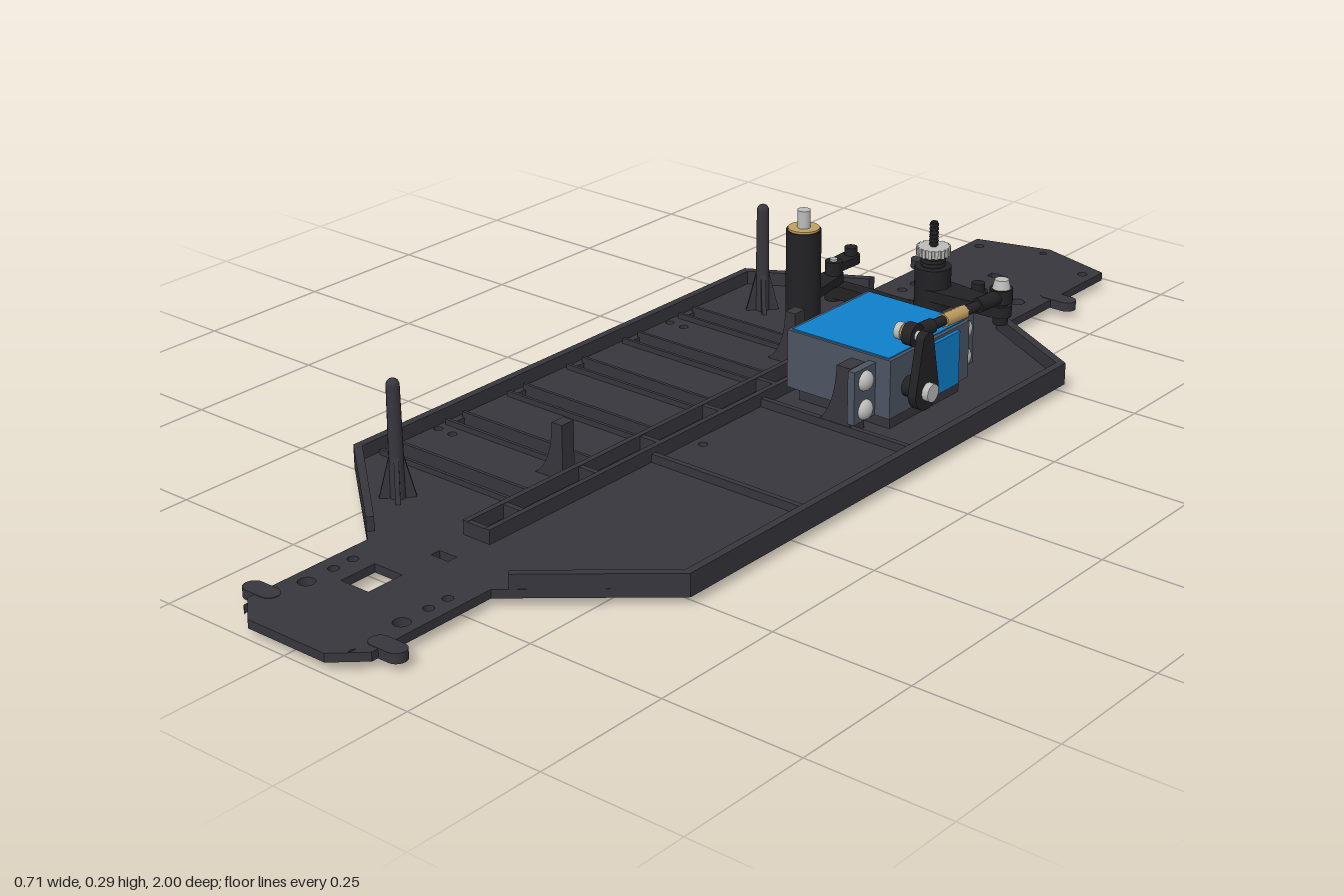
import * as THREE from 'three';

const paint = (name, color) => Object.assign(new THREE.MeshStandardMaterial({ color }), { name });

export function createModel() {
  const model = new THREE.Group();
  model.name = 'chassis';
  const dark = paint('charcoal plastic', 0x37363d);
  const black = paint('black plastic', 0x222225);
  const grey = paint('servo grey', 0x4d5562);
  const blue = paint('blue label', 0x0f80cc);
  const silver = paint('silver steel', 0xbcbcba);
  const gold = paint('brass', 0xc2a062);

  const add = (name, geo, mat, x = 0, y = 0, z = 0) => {
    const m = new THREE.Mesh(geo, mat);
    m.name = name;
    m.position.set(x, y, z);
    model.add(m);
    return m;
  };
  // box given by its limits
  const box = (name, mat, x0, x1, y0, y1, z0, z1) =>
    add(name, new THREE.BoxGeometry(x1 - x0, y1 - y0, z1 - z0), mat, (x0 + x1) / 2, (y0 + y1) / 2, (z0 + z1) / 2);
  // upright cylinder from y0 to y1
  const post = (name, mat, x, z, y0, y1, r, rTop = r, n = 24) =>
    add(name, new THREE.CylinderGeometry(rTop, r, y1 - y0, n), mat, x, (y0 + y1) / 2, z);
  // rod between two points
  const rod = (name, mat, a, b, r, n = 16) => {
    const p = new THREE.Vector3(...a), q = new THREE.Vector3(...b), d = q.clone().sub(p);
    const m = add(name, new THREE.CylinderGeometry(r, r, d.length(), n), mat);
    m.position.copy(p).add(q).multiplyScalar(0.5);
    m.quaternion.setFromUnitVectors(new THREE.Vector3(0, 1, 0), d.normalize());
    return m;
  };
  const poly = (pts) => new THREE.Shape(pts.map(([x, y]) => new THREE.Vector2(x, y)));
  // flat slab whose plan is drawn in x and z
  const slab = (name, mat, shape, y0, y1) => {
    const g = new THREE.ExtrudeGeometry(shape, { depth: y1 - y0, bevelEnabled: false, curveSegments: 10 });
    g.rotateX(Math.PI / 2);
    return add(name, g, mat, 0, y1, 0);
  };
  // flat arm with rounded ends, in plan
  const arm = (name, mat, x0, z0, x1, z1, r0, r1, y0, y1) => {
    const a = Math.atan2(z1 - z0, x1 - x0), s = new THREE.Shape();
    s.absarc(x0, z0, r0, a + Math.PI / 2, a + Math.PI * 1.5, false);
    s.absarc(x1, z1, r1, a - Math.PI / 2, a + Math.PI / 2, false);
    s.closePath();
    return slab(name, mat, s, y0, y1);
  };

  // floor plate
  const half = [[0.143, -0.96], [0.143, -0.62], [0.357, -0.5], [0.357, 0.515], [0.13, 0.705], [0.13, 0.95], [0.08, 0.995]];
  const plate = poly([[0, -1], ...half, ...half.map(([x, z]) => [-x, z]).reverse()]);
  const rectHole = (x0, x1, z0, z1) => plate.holes.push(poly([[x0, z0], [x0, z1], [x1, z1], [x1, z0]]));
  const roundHole = (x, z, r) => plate.holes.push(new THREE.Path().absarc(x, z, r, 0, Math.PI * 2, true));
  const slots = [-0.301, -0.148, 0.001, 0.152, 0.302, 0.455];
  slots.forEach((z) => rectHole(-0.33, -0.05, z - 0.017, z + 0.017));
  rectHole(0, 0.06, -0.71, -0.64);
  rectHole(-0.063, -0.005, 0.755, 0.825);
  rectHole(-0.018, 0.018, -0.827, -0.81);
  rectHole(-0.018, 0.018, 0.662, 0.68);
  for (const s of [-1, 1]) {
    [[-0.735, 0.014], [-0.69, 0.009], [-0.65, 0.009], [0.765, 0.009], [0.805, 0.009], [0.86, 0.014]]
      .forEach(([z, r]) => roundHole(s * 0.1, z, r));
    roundHole(s * 0.118, -0.93, 0.009);
    roundHole(s * 0.11, 0.965, 0.008);
  }
  roundHole(0, -0.975, 0.007);
  [[0.048, 0.113], [0.227, 0.605], [-0.333, -0.253], [-0.3, -0.253], [-0.333, 0.345], [-0.3, 0.345]]
    .forEach(([x, z]) => roundHole(x, z, 0.008));
  slab('floorPlate', dark, plate, 0.015, 0.03);

  // side rims and bumper ears
  for (const s of [-1, 1]) {
    const rim = [[0.143, -0.62], [0.357, -0.5], [0.357, 0.515], [0.15, 0.688], [0.142, 0.678], [0.343, 0.508], [0.343, -0.491], [0.143, -0.603]];
    slab('sideRim', dark, poly(rim.map(([x, z]) => [s * x, z])), 0.03, 0.055);
    arm('rearEar', dark, s * 0.13, -0.8, s * 0.167, -0.8, 0.017, 0.017, 0.014, 0.031);
    arm('frontEar', dark, s * 0.115, 0.92, s * 0.15, 0.92, 0.017, 0.017, 0.014, 0.031);
  }

  // centre channel, floor ribs and slot lips
  for (const x of [-0.023, 0.023]) box('channelWall', dark, x - 0.005, x + 0.005, 0.03, 0.055, -0.57, 0.6);
  for (const z of [-0.565, -0.34, -0.25, -0.115, 0.03, 0.19, 0.34, 0.515, 0.595])
    box('channelBridge', dark, -0.027, 0.027, 0.03, 0.054, z - 0.005, z + 0.005);
  for (const z of [-0.07, 0.215]) box('floorRib', dark, 0.027, 0.345, 0.03, 0.045, z - 0.005, z + 0.005);
  for (const z of slots) for (const d of [-0.02, 0.02])
    box('slotLip', dark, -0.335, -0.045, 0.03, 0.04, z + d - 0.003, z + d + 0.003);

  // upright brackets with a curved foot; the straight side is at x
  const fin = (name, x, z, w, y0, y1, t) => {
    const s = new THREE.Shape();
    s.moveTo(x, y0);
    s.lineTo(x, y1);
    s.lineTo(x - w * 0.36, y1);
    s.quadraticCurveTo(x - w * 0.4, y0 + (y1 - y0) * 0.25, x - w, y0);
    s.closePath();
    add(name, new THREE.ExtrudeGeometry(s, { depth: t, bevelEnabled: false }), dark, 0, 0, z - t / 2);
  };
  fin('batteryBracket', -0.035, -0.253, 0.06, 0.03, 0.128, 0.028);
  fin('batteryBracket', -0.035, 0.35, 0.06, 0.03, 0.128, 0.028);

  // body posts on cross-shaped feet
  for (const [x, z] of [[-0.243, -0.41], [-0.2, 0.57]]) {
    post('bodyPost', dark, x, z, 0.03, 0.224, 0.013, 0.011, 16);
    add('bodyPostTip', new THREE.SphereGeometry(0.011, 16, 10), dark, x, 0.224, z);
    for (const a of [Math.PI / 4, -Math.PI / 4]) {
      const web = poly([[-0.03, 0], [0.03, 0], [0.011, 0.075], [-0.011, 0.075]]);
      const g = new THREE.ExtrudeGeometry(web, { depth: 0.008, bevelEnabled: false }).translate(0, 0, -0.004);
      add('bodyPostWeb', g, dark, x, 0.03, z).rotation.y = a;
    }
  }

  // steering servo, labels, flanges and screws
  box('servoCase', grey, 0.045, 0.26, 0.055, 0.16, -0.342, -0.115);
  box('servoFoot', dark, 0.06, 0.25, 0.03, 0.055, -0.33, -0.13);
  box('topLabel', blue, 0.052, 0.253, 0.16, 0.162, -0.337, -0.12);
  box('sideLabel', blue, 0.26, 0.267, 0.058, 0.155, -0.305, -0.225);
  for (const z of [-0.086, -0.371]) {
    box('servoFlange', grey, 0.216, 0.23, 0.055, 0.15, z - 0.029, z + 0.029);
    fin('servoMount', 0.215, z, 0.08, 0.03, 0.15, 0.04);
    for (const y of [0.075, 0.127]) {
      const g = new THREE.SphereGeometry(0.018, 16, 8, 0, Math.PI * 2, 0, Math.PI / 2).scale(1, 0.7, 1).rotateZ(-Math.PI / 2);
      add('flangeScrew', g, silver, 0.23, y, z);
    }
  }

  // servo horn
  const horn = new THREE.Shape();
  horn.absarc(0, 0.1, 0.033, Math.PI, Math.PI * 2, false);
  horn.absarc(0, 0.19, 0.015, 0, Math.PI, false);
  horn.closePath();
  const hornGeo = new THREE.ExtrudeGeometry(horn, { depth: 0.016, bevelEnabled: false }).rotateY(Math.PI / 2);
  add('servoHorn', hornGeo, black, 0.284, 0, -0.165);
  rod('servoShaft', black, [0.26, 0.1, -0.165], [0.286, 0.1, -0.165], 0.018);
  rod('hornScrew', silver, [0.299, 0.1, -0.165], [0.312, 0.1, -0.165], 0.016);

  // drag link with ball ends and brass adjuster
  const a = [0.266, 0.194, -0.165], b = [0.284, 0.194, -0.4];
  rod('dragLink', black, a, b, 0.009);
  rod('adjuster', gold, [0.272, 0.194, -0.245], [0.276, 0.194, -0.3], 0.013, 6);
  rod('linkEnd', black, [0.266, 0.194, -0.17], [0.27, 0.194, -0.215], 0.013);
  rod('linkEnd', black, [0.279, 0.194, -0.335], [0.284, 0.194, -0.395], 0.013);
  rod('ballCup', black, [0.257, 0.194, -0.165], [0.277, 0.194, -0.165], 0.02);
  rod('ballCollar', gold, [0.25, 0.194, -0.165], [0.257, 0.194, -0.165], 0.013);
  rod('ballScrew', silver, [0.238, 0.194, -0.165], [0.25, 0.194, -0.165], 0.015);
  rod('ballStud', silver, [0.277, 0.194, -0.165], [0.286, 0.194, -0.165], 0.009);
  post('ballCup', black, 0.284, -0.4, 0.183, 0.208, 0.02);
  post('ballScrew', silver, 0.284, -0.4, 0.208, 0.224, 0.016, 0.012);

  // steering posts
  const pz = -0.402;
  for (const x of [-0.143, 0.14]) {
    post('steeringPost', black, x, pz, 0.03, 0.213, 0.032);
    post('postScrew', silver, x, pz, 0, 0.015, 0.014, 0.016);
    arm('crankArm', black, x, pz, x, -0.495, 0.03, 0.017, 0.083, 0.1);
    arm('crankTip', black, x, -0.495, x, -0.545, 0.015, 0.017, 0.106, 0.122);
    post('crankPivot', black, x, -0.493, 0.05, 0.125, 0.016);
    post('crankPin', silver, x, -0.493, 0.125, 0.129, 0.007);
    post('crankBall', black, x, -0.545, 0.11, 0.137, 0.012);
  }
  post('brassBush', gold, -0.143, pz, 0.213, 0.217, 0.029);
  post('postPin', silver, -0.143, pz, 0.215, 0.25, 0.012);

  // servo saver: bell crank, spring, adjusting nut and threaded rod
  arm('bellCrank', black, 0.14, pz, 0.284, -0.4, 0.032, 0.019, 0.158, 0.178);
  post('bellCrankStud', black, 0.284, -0.4, 0.143, 0.185, 0.013);
  for (let i = 0; i < 3; i++)
    add('saverSpring', new THREE.TorusGeometry(0.018, 0.004, 8, 24).rotateX(Math.PI / 2), black, 0.14, 0.217 + i * 0.007, pz);
  post('adjustingNut', silver, 0.14, pz, 0.234, 0.249, 0.027);
  for (let i = 0; i < 16; i++) {
    const t = i * Math.PI / 8;
    const rib = add('nutRib', new THREE.BoxGeometry(0.006, 0.015, 0.006), silver, 0.14 + 0.027 * Math.cos(t), 0.2415, pz + 0.027 * Math.sin(t));
    rib.rotation.y = -t;
  }
  post('threadedRod', black, 0.14, pz, 0.21, 0.294, 0.006);
  for (let i = 0; i < 6; i++) post('thread', black, 0.14, pz, 0.252 + i * 0.007, 0.256 + i * 0.007, 0.0085, 0.0075, 16);

  // tie bar between the cranks
  box('tieBar', black, -0.143, 0.14, 0.057, 0.083, -0.51, -0.48);

  return model;
}
